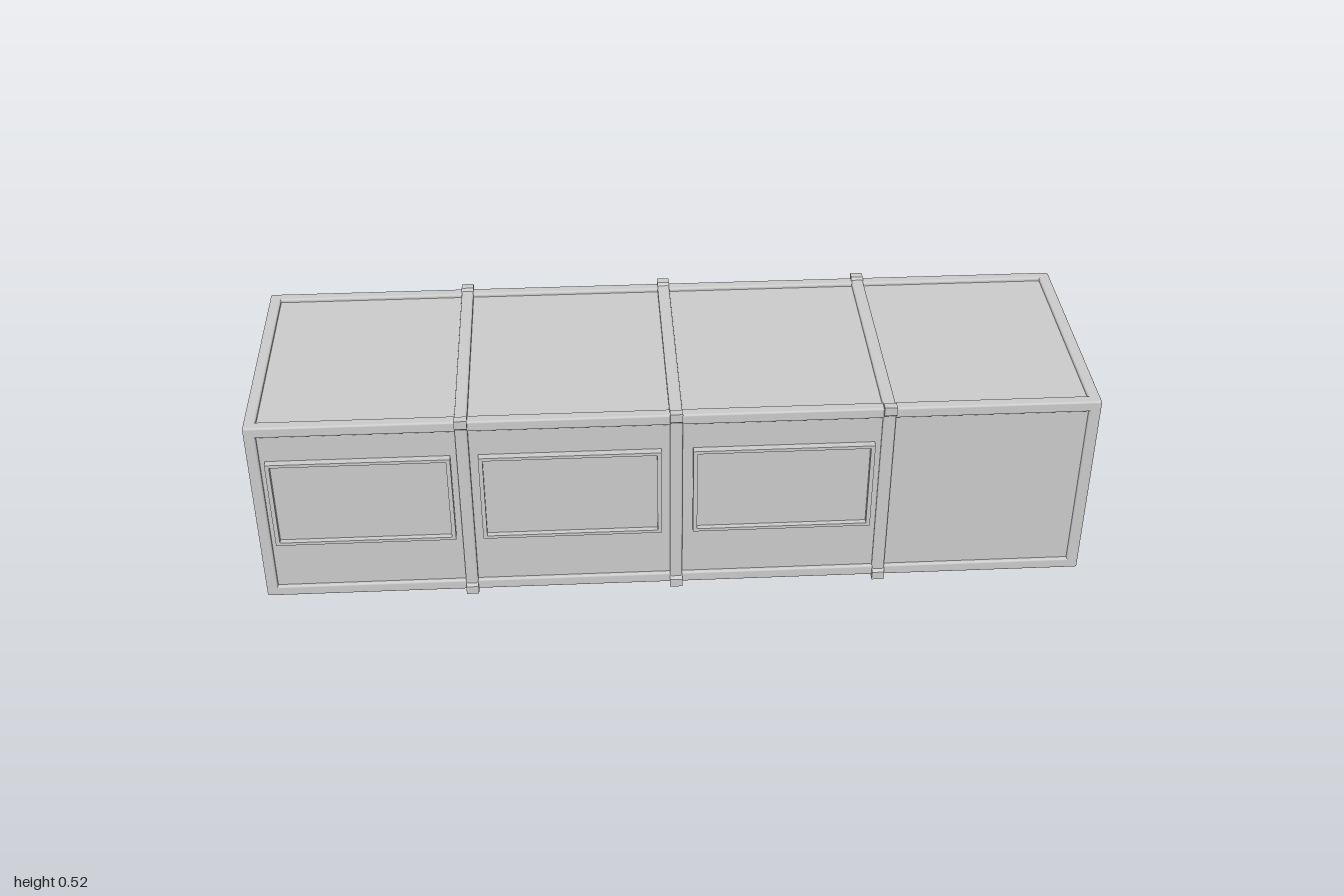
import * as THREE from 'three';
import { RoundedBoxGeometry } from 'three/addons/geometries/RoundedBoxGeometry.js';

const HX = 1, HY = 0.25, HZ = 0.298; // half sizes of the frame
const CY = 0.259;                    // height of the centre
const BAR = 0.028, RECESS = 0.009;

export function createModel() {
  const model = new THREE.Group();
  const body = new THREE.Group();
  body.position.y = CY;
  model.add(body);
  const grey = new THREE.MeshStandardMaterial({ color: 0xcccccc });

  const add = (name, geometry, x, y, z, parent = body) => {
    const mesh = new THREE.Mesh(geometry, grey);
    mesh.name = name;
    mesh.position.set(x, y, z);
    parent.add(mesh);
    return mesh;
  };
  const bar = (name, w, h, d, x, y, z) =>
    add(name, new RoundedBoxGeometry(w, h, d, 2, 0.005), x, y, z);

  // Walls, roof and floor, set back a little inside the frame
  add('hull', new THREE.BoxGeometry(2 * (HX - RECESS), 2 * (HY - RECESS), 2 * (HZ - RECESS)), 0, 0, 0);

  // Edge frame: four bars along each axis
  const b = BAR / 2;
  for (const s of [-1, 1]) for (const t of [-1, 1]) {
    bar('longRail', 2 * HX, BAR, BAR, 0, s * (HY - b), t * (HZ - b));
    bar('cornerPost', BAR, 2 * HY, BAR, s * (HX - b), 0, t * (HZ - b));
    bar('crossRail', BAR, BAR, 2 * HZ, s * (HX - b), t * (HY - b), 0);
  }

  // Chamfered clamp on each long edge where a rib meets it
  const clampShape = new THREE.Shape([
    [0.276, 0.235], [0.298, 0.228], [0.307, 0.236], [0.307, 0.258],
    [0.287, 0.258], [0.279, 0.25],
  ].map(([z, y]) => new THREE.Vector2(z, y)));
  const clamp = new THREE.ExtrudeGeometry(clampShape, { depth: 0.03, bevelEnabled: false });
  clamp.translate(0, 0, -0.015);

  // Back window extents, used to interrupt the middle rib
  const back = { x: 0, y: 0.255 - CY, w: 0.67, h: 0.28 };

  // Ribs around the body
  for (const x of [-0.5, 0, 0.5]) {
    for (const s of [-1, 1]) bar('ribAcross', 0.03, 0.024, 2 * HZ, x, s * (HY - 0.01), 0);
    bar('ribFront', 0.03, 2 * HY, 0.024, x, 0, HZ - 0.01);
    if (x === 0) {
      for (const s of [-1, 1]) {
        const inner = back.y + s * back.h / 2, outer = s * HY;
        bar('ribBack', 0.03, Math.abs(outer - inner), 0.024, x, (inner + outer) / 2, -HZ + 0.01);
      }
    } else bar('ribBack', 0.03, 2 * HY, 0.024, x, 0, -HZ + 0.01);

    for (const turn of [0, Math.PI]) for (const flip of [0, Math.PI]) {
      const holder = new THREE.Group();
      holder.name = 'edgeClamp';
      holder.position.x = x;
      holder.rotation.set(flip, turn, 0);
      add('clamp', clamp, 0, 0, 0, holder).rotation.y = -Math.PI / 2;
      body.add(holder);
    }
  }

  // Window: thin raised surround with a pane set inside it
  function addWindow(name, { x, y, w, h }, z, facing) {
    const rect = (path, hw, hh) => path.moveTo(-hw, -hh).lineTo(hw, -hh).lineTo(hw, hh).lineTo(-hw, hh).closePath();
    const shape = rect(new THREE.Shape(), w / 2, h / 2);
    shape.holes.push(rect(new THREE.Path(), w / 2 - 0.01, h / 2 - 0.008));
    const group = new THREE.Group();
    group.name = name;
    group.position.set(x, y, facing * z);
    if (facing < 0) group.rotation.y = Math.PI;
    const depth = z - (HZ - RECESS) + 0.004;
    add('surround', new THREE.ExtrudeGeometry(shape, { depth, bevelEnabled: false }), 0, 0, -depth, group);
    add('pane', new THREE.BoxGeometry(w - 0.01, h - 0.01, 0.008), 0, 0, -depth + 0.004, group);
    body.add(group);
  }
  for (const x of [-0.745, -0.25, 0.255])
    addWindow('frontWindow', { x, y: 0.29 - CY, w: 0.43, h: 0.238 }, 0.306, 1);
  addWindow('backWindow', back, 0.301, -1);

  return model;
}
